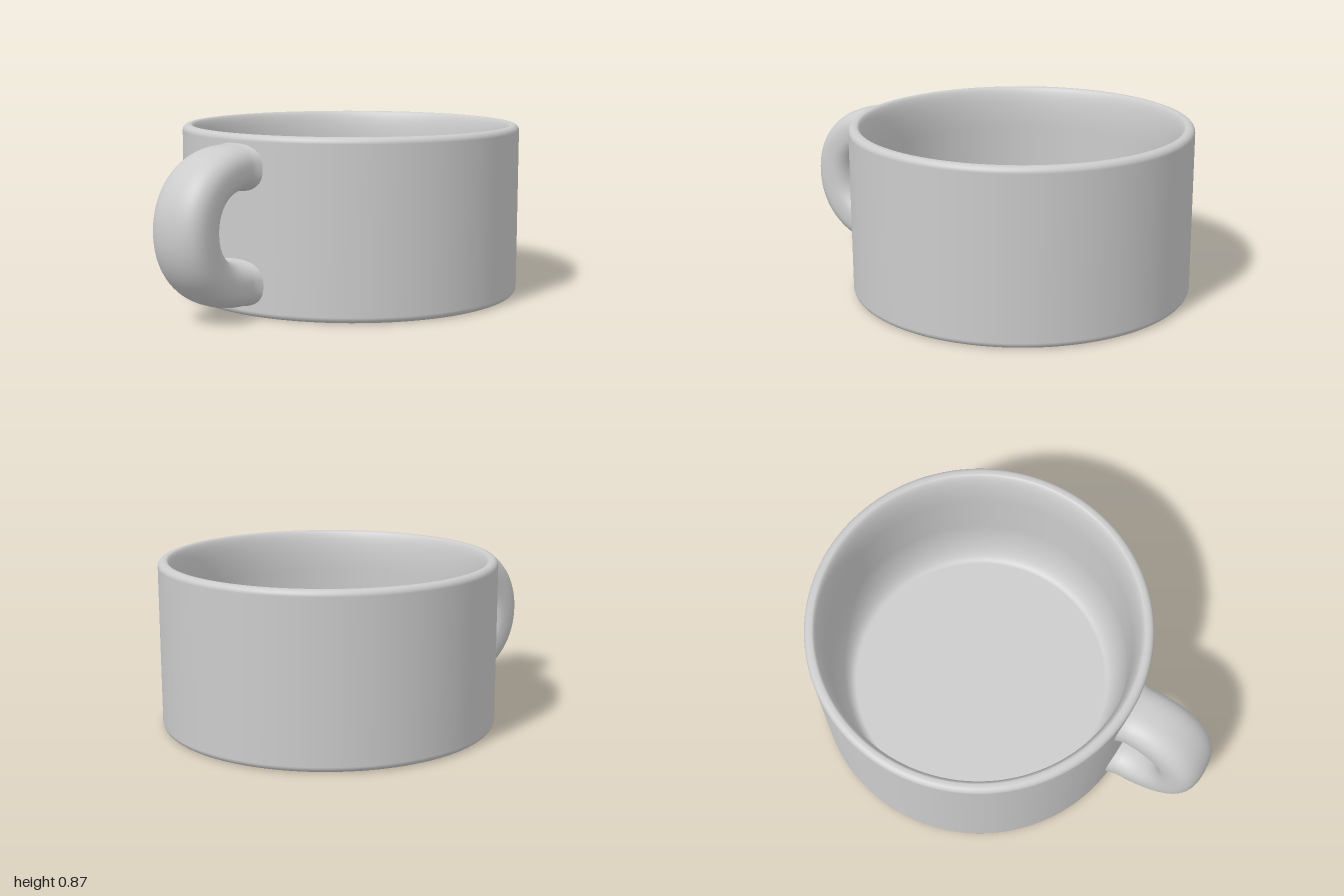
import * as THREE from 'three';

const material = new THREE.MeshStandardMaterial({ color: 0xcccccc });
const R = 0.865, H = 0.865;

// Cup wall, thin rim and floor: one closed profile turned around the axis
function cupGeometry() {
  const inner = 0.78, floor = 0.08, corner = 0.03, lip = 0.045;
  const profile = [new THREE.Vector2(0, 0)];
  const arc = (cx, cy, rx, ry, from, to, steps) => {
    for (let i = 0; i <= steps; i++) {
      const a = from + (to - from) * i / steps;
      profile.push(new THREE.Vector2(cx + rx * Math.cos(a), cy + ry * Math.sin(a)));
    }
  };
  // Outer foot and rim, then the inside: flared lip and deep curve into the floor
  arc(R - corner, corner, corner, corner, -Math.PI / 2, 0, 6);
  arc(R - corner, H - corner, corner, corner, 0, Math.PI / 2, 6);
  arc(inner + lip, H - 0.22, lip, 0.22, Math.PI / 2, Math.PI, 16);
  arc(inner - 0.1, floor + 0.28, 0.1, 0.28, 0, -Math.PI / 2, 18);
  profile.push(new THREE.Vector2(0, floor));
  return new THREE.LatheGeometry(profile, 128);
}

// C-shaped handle: rounded oval section swept along a path, slightly flared at the wall
function handleGeometry() {
  const midY = 0.435, rx = 0.29, ry = 0.275, startX = 0.815, bendX = 0.9;
  const straight = 8, bend = 48, sides = 40;
  const soften = (v, power) => Math.sign(v) * Math.abs(v) ** power;
  const path = [];
  for (let i = 0; i < straight; i++) path.push([startX + (bendX - startX) * i / straight, midY + ry]);
  for (let i = 0; i <= bend; i++) {
    const a = Math.PI / 2 - Math.PI * i / bend;
    path.push([bendX + rx * soften(Math.cos(a), 0.95), midY + ry * soften(Math.sin(a), 0.95)]);
  }
  for (let i = straight - 1; i >= 0; i--) path.push([path[i][0], midY - ry]);

  const positions = [], index = [];
  path.forEach(([x, y], i) => {
    const a = path[Math.max(i - 1, 0)], b = path[Math.min(i + 1, path.length - 1)];
    const len = Math.hypot(b[0] - a[0], b[1] - a[1]);
    const tx = (b[0] - a[0]) / len, ty = (b[1] - a[1]) / len;
    const near = THREE.MathUtils.clamp((0.91 - x) / 0.07, 0, 1);
    const flare = 0.018 * near * near;
    const tip = 0.01 * THREE.MathUtils.clamp((x - bendX) / rx, 0, 1);
    for (let j = 0; j < sides; j++) {
      const phi = j / sides * Math.PI * 2;
      const n = (0.108 + flare * 0.6 + tip) * soften(Math.cos(phi), 0.78);
      const w = (0.148 + flare + tip) * soften(Math.sin(phi), 0.78);
      positions.push(x - ty * n, y + tx * n, w);
      if (i < path.length - 1) {
        const p = i * sides + j, q = i * sides + (j + 1) % sides;
        index.push(p, q, p + sides, q, q + sides, p + sides);
      }
    }
  });
  const geometry = new THREE.BufferGeometry();
  geometry.setAttribute('position', new THREE.Float32BufferAttribute(positions, 3));
  geometry.setIndex(index);
  geometry.computeVertexNormals();
  return geometry;
}

export function createModel() {
  const mug = new THREE.Group();
  mug.name = 'mug';

  const cup = new THREE.Mesh(cupGeometry(), material);
  cup.name = 'cup';
  const handle = new THREE.Mesh(handleGeometry(), material);
  handle.name = 'handle';
  handle.rotation.y = Math.PI + 0.602;
  mug.add(cup, handle);

  mug.position.x = 0.135;
  const model = new THREE.Group();
  model.add(mug);
  return model;
}
